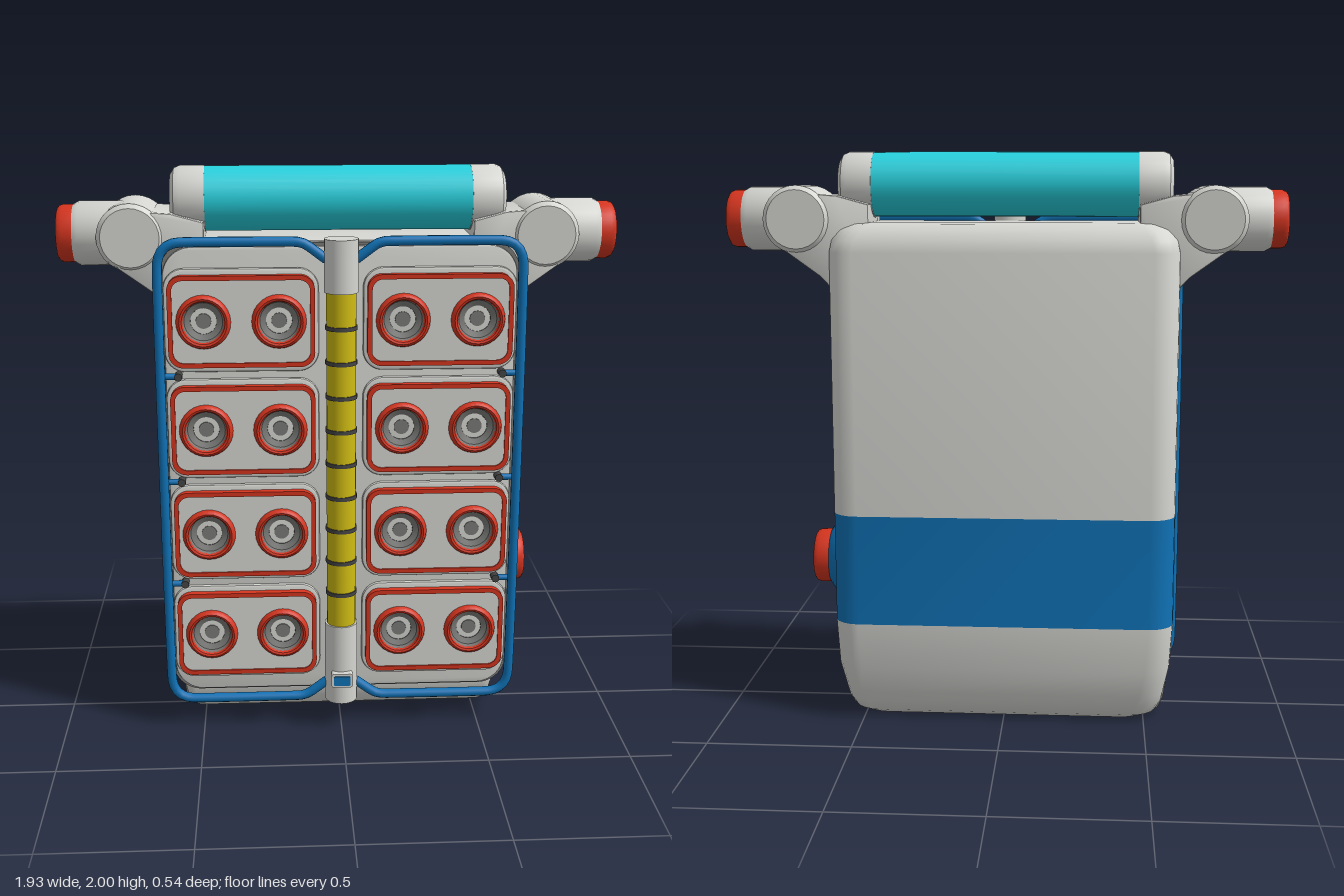
import * as THREE from 'three';
import { toCreasedNormals } from 'three/addons/utils/BufferGeometryUtils.js';

const paint = (name, color) => {
  const m = new THREE.MeshStandardMaterial({ color });
  m.name = name;
  return m;
};

export function createModel() {
  const model = new THREE.Group();
  model.name = 'backpackUnit';
  const grey = paint('lightGrey', 0xd6d6d2), mid = paint('midGrey', 0x7a7a78);
  const dark = paint('darkGrey', 0x454545), blue = paint('blue', 0x0f72b6);
  const cyan = paint('cyan', 0x27d0dd), red = paint('red', 0xd6351f);
  const yellow = paint('yellow', 0xd0bc12);

  const add = (name, geo, mat, pos = [0, 0, 0], rot = [0, 0, 0], parent = model) => {
    const mesh = new THREE.Mesh(geo, mat);
    mesh.name = name;
    mesh.position.set(...pos);
    mesh.rotation.set(...rot);
    parent.add(mesh);
    return mesh;
  };
  const lathe = (pts, n = 28) =>
    toCreasedNormals(new THREE.LatheGeometry(pts.map(p => new THREE.Vector2(...p)), n), 0.6);
  const roundRect = (x0, y0, x1, y1, r, P = THREE.Shape) => {
    const s = new P();
    s.absarc(x1 - r, y0 + r, r, -Math.PI / 2, 0);
    s.absarc(x1 - r, y1 - r, r, 0, Math.PI / 2);
    s.absarc(x0 + r, y1 - r, r, Math.PI / 2, Math.PI);
    s.absarc(x0 + r, y0 + r, r, Math.PI, Math.PI * 1.5);
    s.closePath();
    return s;
  };
  // Extruded slab between two depths, with an optional bevel
  const slab = (shape, z0, z1, b = 0) => {
    const g = new THREE.ExtrudeGeometry(shape, {
      depth: z1 - z0 - 2 * b, bevelEnabled: b > 0, bevelThickness: b,
      bevelSize: b, bevelOffset: -b, bevelSegments: 2, curveSegments: 8,
    });
    g.translate(0, 0, z0 + b);
    return toCreasedNormals(g, 0.6);
  };

  // Body: rounded cross-sections [y, halfWidth, zFront, zBack] stacked upwards
  const ring = ([y, w, zf, zb]) => {
    const pts = [];
    const corners = [[1, -zb, 0.09, 0], [-1, -zb, 0.09, 1], [-1, -zf, 0.035, 2], [1, -zf, 0.035, 3]];
    for (const [sx, v, r, q] of corners) {
      const cx = sx * (w - r), cv = v + (q < 2 ? -r : r);
      for (let k = 0; k <= 5; k++) {
        const a = (q + k / 5) * Math.PI / 2;
        pts.push([cx + r * Math.cos(a), y, -(cv + r * Math.sin(a))]);
      }
    }
    return pts;
  };
  const loft = (sections, capBottom, capTop) => {
    const rings = sections.map(ring), n = rings[0].length, v = [];
    for (let j = 0; j < rings.length - 1; j++) {
      for (let i = 0; i < n; i++) {
        const k = (i + 1) % n, a = rings[j], b = rings[j + 1];
        v.push(...a[i], ...a[k], ...b[k], ...a[i], ...b[k], ...b[i]);
      }
    }
    const cap = (r, s, up) => {
      const c = [0, s[0], (s[2] + s[3]) / 2];
      for (let i = 0; i < n; i++) {
        const k = (i + 1) % n;
        v.push(...(up ? r[i] : r[k]), ...(up ? r[k] : r[i]), ...c);
      }
    };
    if (capBottom) cap(rings[0], sections[0], false);
    if (capTop) cap(rings.at(-1), sections.at(-1), true);
    const g = new THREE.BufferGeometry();
    g.setAttribute('position', new THREE.Float32BufferAttribute(v, 3));
    return toCreasedNormals(g, 0.6);
  };
  const low = [0.36, 0.6, 0.1, -0.27], high = [0.75, 0.6, 0.1, -0.27];
  add('lowerBody', loft([[0, 0.51, 0.03, -0.17], [0.02, 0.545, 0.065, -0.2], [0.06, 0.565, 0.085, -0.22],
    [0.1, 0.572, 0.098, -0.235], [0.2, 0.59, 0.1, -0.268], low], true, false), grey);
  add('blueBand', loft([low, high], false, false), blue);
  add('upperBody', loft([high, [1.66, 0.6, 0.1, -0.27], [1.7, 0.592, 0.1, -0.262], [1.735, 0.57, 0.1, -0.24],
    [1.755, 0.54, 0.098, -0.215], [1.76, 0.51, 0.095, -0.19]], false, true), grey);

  // Layered front plates
  add('backingPlate', slab(roundRect(-0.61, 0.12, 0.61, 1.76, 0.1), 0.08, 0.135), mid);
  add('frontPanel', slab(roundRect(-0.6, 0.13, 0.6, 1.75, 0.1), 0.135, 0.155, 0.005), grey);

  // Socket: red collar with a recessed grey funnel and dark core, opening along +y
  const collar = lathe([[1, -0.3], [1, 0.1], [0.95, 0.24], [0.87, 0.3], [0.79, 0.27], [0.74, 0.15], [0.74, -0.3]]);
  const funnel = lathe([[0.75, 0.18], [0.7, 0.02], [0.48, -0.08]]);
  const core = lathe([[0.48, -0.08], [0.46, -0.24], [0.3, -0.24]]);
  const pin = lathe([[0.3, -0.25], [0.28, -0.08], [0, -0.08]]);
  const socket = (name, size, pos, rot) => {
    const g = new THREE.Group();
    g.name = name;
    add('collar', collar, red, undefined, undefined, g);
    add('funnel', funnel, mid, undefined, undefined, g);
    add('core', core, dark, undefined, undefined, g);
    add('pin', pin, mid, undefined, undefined, g);
    g.scale.setScalar(size);
    g.position.set(...pos);
    g.rotation.set(...rot);
    model.add(g);
  };

  // Eight pads, each with a red rim and two sockets
  for (const s of [-1, 1]) {
    for (let row = 0; row < 4; row++) {
      const y = 0.362 + row * 0.38, cx = s * 0.337;
      const rect = (w, h, r, P) => roundRect(cx - w, y - h, cx + w, y + h, r, P);
      add('padBase', slab(rect(0.262, 0.178, 0.07), 0.15, 0.17, 0.008), grey);
      const rim = rect(0.248, 0.157, 0.05);
      rim.holes.push(rect(0.232, 0.141, 0.036, THREE.Path));
      add('padRim', slab(rim, 0.16, 0.196), red);
      const face = rect(0.232, 0.141, 0.036);
      for (const x of [0.21, 0.465]) {
        face.holes.push(new THREE.Path().absarc(s * x, y, 0.076, 0, Math.PI * 2));
        socket('padSocket', 0.093, [s * x, y, 0.18], [Math.PI / 2, 0, 0]);
      }
      add('padFace', slab(face, 0.155, 0.19), grey);
    }
  }

  // Central post with ringed yellow tube
  const post = (name, r, y0, y1, mat) =>
    add(name, new THREE.CylinderGeometry(r, r, y1 - y0, 24), mat, [0, (y0 + y1) / 2, 0.187]);
  post('postBottom', 0.058, 0.1, 0.4, grey);
  post('postTube', 0.051, 0.4, 1.6, yellow);
  post('postTop', 0.058, 1.6, 1.78, grey);
  for (let i = 1; i < 10; i++) post('postRing', 0.055, 0.4 + i * 0.12 - 0.007, 0.4 + i * 0.12 + 0.007, dark);
  add('buttonHousing', slab(roundRect(-0.038, 0.175, 0.038, 0.227, 0.008), 0.22, 0.265), grey);
  add('button', slab(roundRect(-0.03, 0.183, 0.03, 0.219, 0.006), 0.262, 0.269), blue);

  // Cyan roll handle
  const across = [0, 0, Math.PI / 2];
  add('handleRoll', new THREE.CylinderGeometry(0.111, 0.111, 0.92, 28), cyan, [0, 1.888, -0.048], across);

  for (const s of [-1, 1]) {
    const outward = [0, 0, -s * Math.PI / 2];
    add('handleCap', lathe([[0, 0], [0.113, 0], [0.113, 0.085], [0.105, 0.105], [0.085, 0.118], [0, 0.12]]),
      grey, [s * 0.457, 1.887, -0.048], outward);

    // Shoulder bracket, joint and arm ending in a socket
    const bracket = new THREE.Shape([[0.46, 1.6], [0.56, 1.5], [0.63, 1.575], [0.79, 1.69], [0.7, 1.86],
      [0.57, 1.85], [0.46, 1.82]].map(([x, y]) => new THREE.Vector2(s * x, y)));
    add('shoulderBracket', slab(bracket, -0.195, 0.075, 0.008), grey);
    add('shoulderJoint', lathe([[0, -0.145], [0.1, -0.145], [0.115, -0.13], [0.115, 0.13], [0.1, 0.145], [0, 0.145]]),
      grey, [s * 0.71, 1.77, -0.062], [Math.PI / 2, 0, 0]);
    add('arm', lathe([[0, 0], [0.111, 0], [0.111, 0.19], [0.1, 0.21], [0, 0.21]]), grey, [s * 0.7, 1.77, -0.058], outward);
    socket('armSocket', 0.1, [s * 0.935, 1.77, -0.058], outward);

    // Tubular guard rail with mounting pegs
    const rail = new THREE.Path();
    rail.moveTo(0.05, 1.71);
    rail.lineTo(0.11, 1.755);
    rail.quadraticCurveTo(0.13, 1.77, 0.16, 1.77);
    rail.lineTo(0.53, 1.77);
    rail.quadraticCurveTo(0.614, 1.77, 0.614, 1.68);
    rail.lineTo(0.614, 0.2);
    rail.quadraticCurveTo(0.614, 0.107, 0.53, 0.107);
    rail.lineTo(0.16, 0.107);
    rail.quadraticCurveTo(0.13, 0.107, 0.11, 0.122);
    rail.lineTo(0.05, 0.167);
    const curve = new THREE.CatmullRomCurve3(rail.getPoints(8).map(p => new THREE.Vector3(s * p.x, p.y, 0.183)));
    add('guardRail', new THREE.TubeGeometry(curve, 120, 0.017, 10), blue);
    for (const y of [0.555, 0.935, 1.312]) {
      add('railPeg', new THREE.CylinderGeometry(0.011, 0.011, 0.06, 10), blue, [s * 0.585, y, 0.177], across);
      add('pegFoot', new THREE.CylinderGeometry(0.014, 0.014, 0.045, 10), dark, [s * 0.555, y, 0.17], [Math.PI / 2, 0, 0]);
    }

    // Dark side foot plate
    const foot = new THREE.Shape([[0.552, 0.015], [0.573, 0.06], [0.598, 0.22], [0.57, 0.22], [0.53, 0.03]]
      .map(([x, y]) => new THREE.Vector2(s * x, y)));
    add('sideFootPlate', slab(foot, -0.115, 0.037), mid);
  }

  // Single side port on the blue band
  const right = [0, 0, -Math.PI / 2];
  add('portBase', lathe([[0.132, 0], [0.12, 0.018], [0.1, 0.033], [0, 0.034]]), blue, [0.599, 0.555, -0.058], right);
  socket('sidePort', 0.097, [0.66, 0.555, -0.058], right);

  return model;
}
